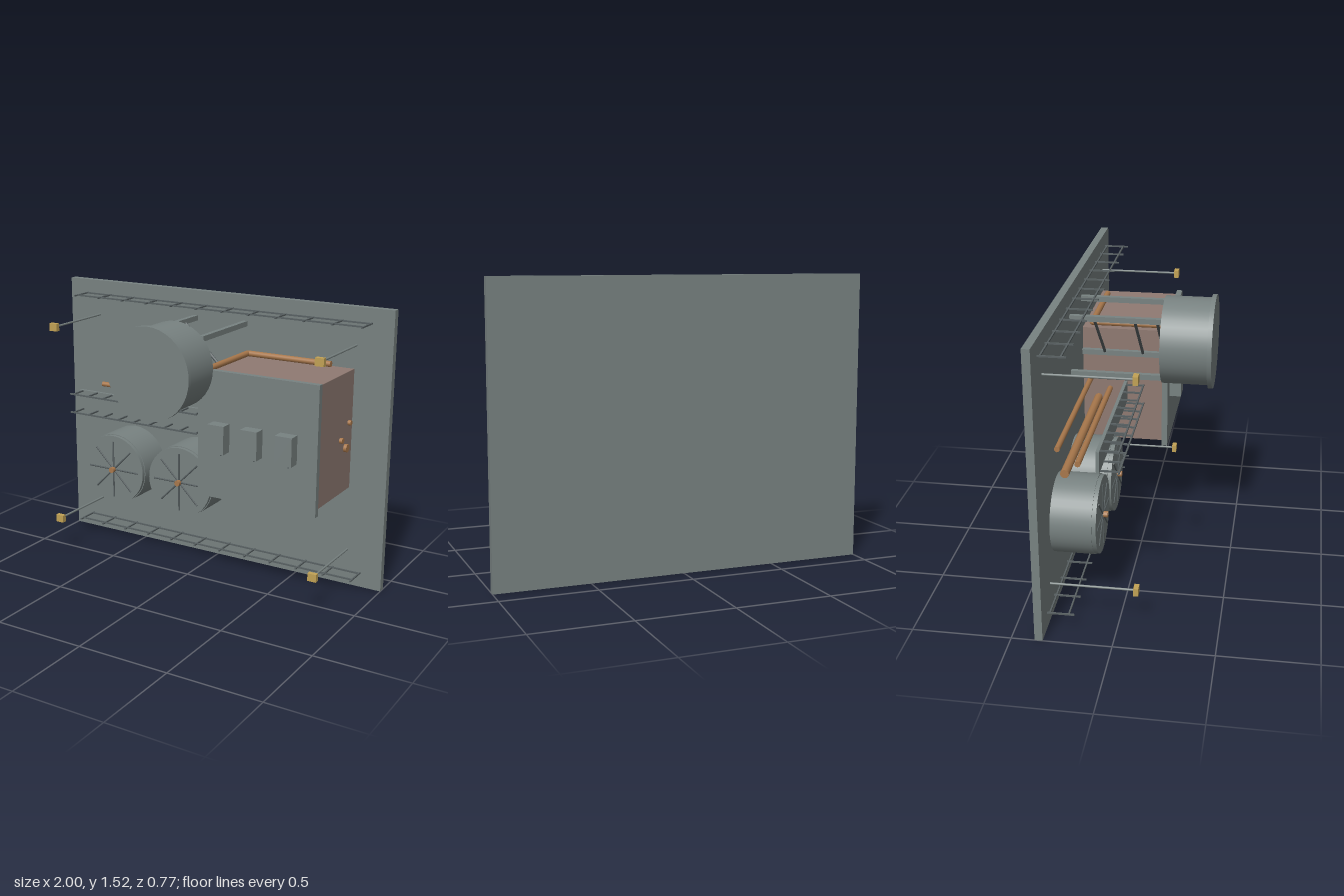
import * as THREE from 'three';

const mat = (name, color) => {
  const m = new THREE.MeshStandardMaterial({ color });
  m.name = name;
  return m;
};

export function createModel() {
  const steel = mat('blue grey steel', 0x788281);
  const dark = mat('dark steel', 0x596163);
  const brown = mat('brown enamel', 0x8f7a72);
  const copper = mat('copper', 0xa9784c);
  const brass = mat('brass', 0xc2a255);

  const model = new THREE.Group();
  const group = (name, parent = model) => {
    const g = new THREE.Group();
    g.name = name;
    parent.add(g);
    return g;
  };
  const add = (name, geo, m, parent) => {
    const mesh = new THREE.Mesh(geo, m);
    mesh.name = name;
    parent.add(mesh);
    return mesh;
  };
  // box given by its lower and upper bounds
  const box = (name, m, x0, x1, y0, y1, z0, z1, parent = model) => {
    const mesh = add(name, new THREE.BoxGeometry(x1 - x0, y1 - y0, z1 - z0), m, parent);
    mesh.position.set((x0 + x1) / 2, (y0 + y1) / 2, (z0 + z1) / 2);
    return mesh;
  };
  // round bar between two points
  const bar = (name, m, a, b, r, sides = 8, parent = model) => {
    const p = new THREE.Vector3(...a), q = new THREE.Vector3(...b);
    const d = q.clone().sub(p);
    const mesh = add(name, new THREE.CylinderGeometry(r, r, d.length(), sides), m, parent);
    mesh.position.copy(p).add(q).multiplyScalar(0.5);
    mesh.quaternion.setFromUnitVectors(new THREE.Vector3(0, 1, 0), d.normalize());
    return mesh;
  };

  const wallZ = -0.343;
  box('backPlate', steel, -1, 1, 0, 1.52, -0.383, wallZ);

  // Long ladder rails near the top and bottom edges
  for (const y of [0.082, 1.443]) {
    const ladder = group('edgeLadder');
    for (const z of [-0.33, -0.235])
      box('rail', dark, -0.885, 0.885, y - 0.004, y + 0.004, z - 0.004, z + 0.004, ladder);
    for (let i = 0; i < 12; i++) {
      const x = -0.88 + i * 0.16;
      box('rung', dark, x - 0.004, x + 0.004, y - 0.004, y + 0.004, wallZ, -0.207, ladder);
    }
  }

  // Corner rods with brass blocks
  for (const x of [-0.8, 0.8]) for (const y of [0.202, 1.322]) {
    const post = group('cornerPost');
    bar('rod', steel, [x, y, wallZ], [x, y, 0.08], 0.006, 8, post);
    box('brassBlock', brass, x - 0.024, x + 0.024, y - 0.021, y + 0.021, 0.077, 0.102, post);
  }

  // Large drum on a braced truss
  const dish = group('largeDrum');
  bar('drumBody', steel, [0, 1.218, 0.121], [0, 1.218, 0.362], 0.226, 40, dish);
  bar('drumFlange', steel, [0, 1.218, 0.36], [0, 1.218, 0.383], 0.242, 40, dish);
  const truss = group('drumTruss');
  for (const x of [-0.155, 0.155]) for (const y of [1.068, 1.368])
    box('beam', steel, x - 0.013, x + 0.013, y - 0.014, y + 0.014, wallZ, 0.121, truss);
  for (const z of [-0.22, -0.014, 0.1])
    bar('diagonalBrace', dark, [-0.155, 1.368, z], [0.155, 1.068, z], 0.008, 8, truss);

  // Enamel cabinet with a steel front
  const cabinet = group('cabinet');
  box('cabinetBody', brown, 0.17, 0.795, 0.555, 1.198, wallZ, 0.092, cabinet);
  box('cabinetFront', steel, 0.14, 0.817, 0.536, 1.214, 0.091, 0.122, cabinet);
  box('underShelf', steel, 0.22, 0.74, 0.538, 0.556, wallZ, 0, cabinet);
  box('brassTag', brass, 0.38, 0.58, 0.505, 0.552, -0.157, -0.137, cabinet);
  for (const x of [0.278, 0.467, 0.66]) {
    box('switchBox', steel, x - 0.047, x + 0.047, 0.798, 0.948, 0.12, 0.185, cabinet);
    for (let i = -1; i <= 1; i++)
      bar('switchPin', dark, [x + i * 0.025, 0.788, 0.152 + i * 0.016],
        [x + i * 0.025, 0.8, 0.152 + i * 0.016], 0.004, 6, cabinet);
  }

  // Copper pipes running through the cabinet
  const pipes = group('copperPipes');
  for (const [y, z, r] of [[0.923, -0.295, 0.014], [0.851, -0.198, 0.015], [0.795, -0.262, 0.022]])
    bar('longPipe', copper, [-0.757, y, z], [0.812, y, z], r, 12, pipes);
  // Bent pipe on the cabinet top
  const py = 1.219, pz = -0.295;
  bar('bentPipeSide', copper, [0.2, py, 0.122], [0.2, py, pz], 0.016, 12, pipes);
  bar('bentPipeBack', copper, [0.2, py, pz], [0.685, py, pz], 0.016, 12, pipes);
  add('pipeElbow', new THREE.SphereGeometry(0.016, 12, 8), copper, pipes).position.set(0.2, py, pz);

  // Cable tray: web panel with an open ladder flange above and below
  const tray = group('cableTray');
  box('trayPanel', steel, -0.775, 0.1, 0.818, 0.932, -0.107, -0.09, tray);
  for (const y of [0.822, 0.928]) {
    box('trayRail', dark, -0.77, 0.06, y - 0.004, y + 0.004, -0.002, 0.006, tray);
    for (let i = 0; i < 9; i++) {
      const x = -0.75 + i * 0.1;
      box('trayRung', dark, x - 0.004, x + 0.004, y - 0.004, y + 0.004, -0.092, 0.004, tray);
    }
  }

  // Pair of spoked drums
  for (const x of [-0.565, -0.123]) {
    const y = 0.482, drum = group('spokedDrum');
    bar('body', steel, [x, y, wallZ], [x, y, -0.136], 0.203, 40, drum);
    bar('frontRim', steel, [x, y, -0.137], [x, y, -0.115], 0.199, 40, drum);
    bar('hub', copper, [x, y, -0.12], [x, y, -0.088], 0.016, 12, drum);
    for (let i = 0; i < 8; i++) {
      const c = Math.cos(i * Math.PI / 4), s = Math.sin(i * Math.PI / 4);
      bar('spoke', dark, [x + c * 0.012, y + s * 0.012, -0.114],
        [x + c * 0.165, y + s * 0.165, -0.114], 0.005, 6, drum);
    }
  }
  return model;
}
